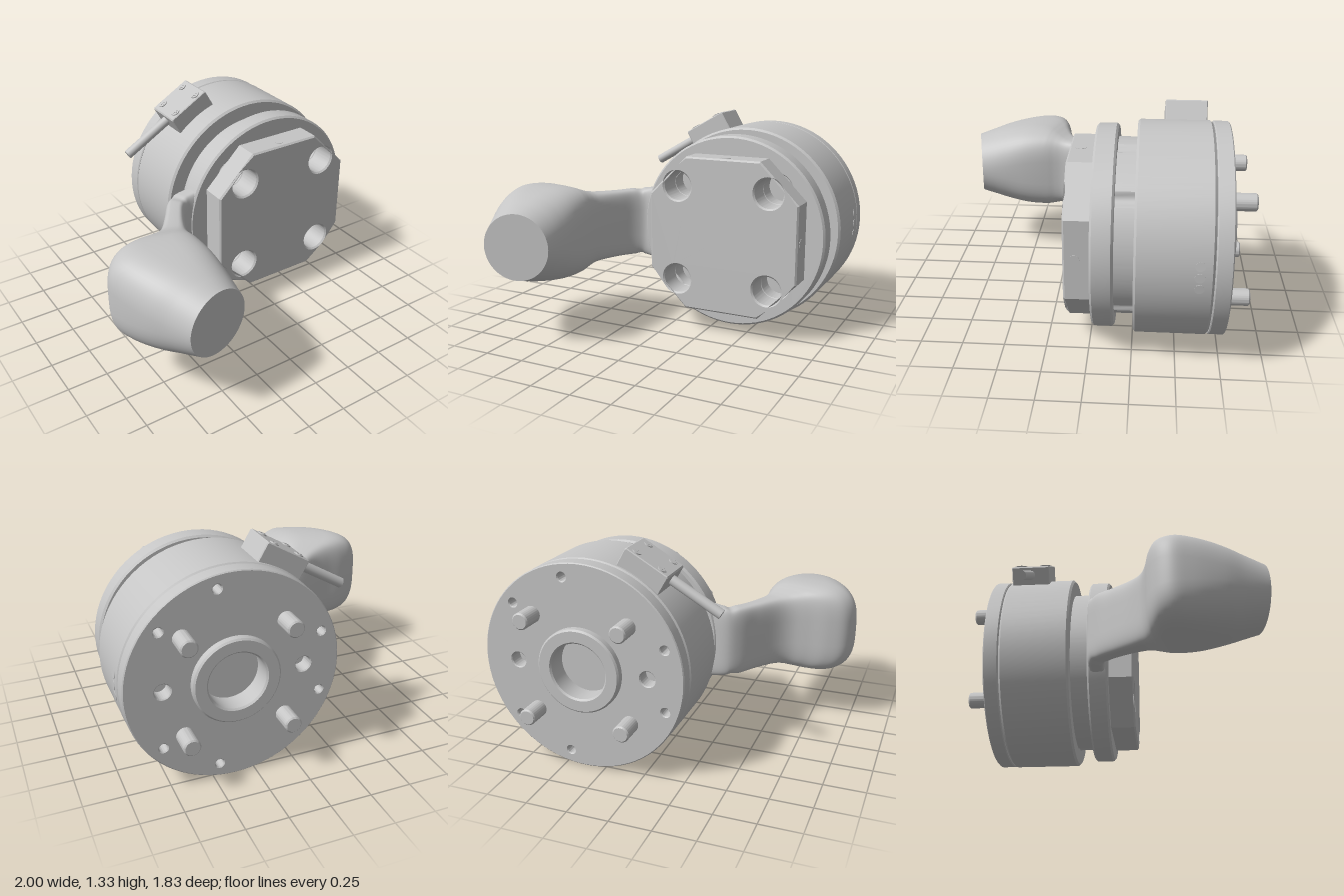
import * as THREE from 'three';
import { toCreasedNormals } from 'three/addons/utils/BufferGeometryUtils.js';

const CX = 0.37, CY = 0.63; // axis of the round body
const steel = new THREE.MeshStandardMaterial({ color: 0xc5c5c5, side: THREE.DoubleSide });
steel.name = 'steel grey';

function add(parent, name, geometry, x = 0, y = 0, z = 0) {
  const mesh = new THREE.Mesh(geometry, steel);
  mesh.name = name;
  mesh.position.set(x, y, z);
  parent.add(mesh);
  return mesh;
}

function polygon(points) {
  return new THREE.Shape(points.map(([x, y]) => new THREE.Vector2(x, y)));
}

function disc(r) {
  const s = new THREE.Shape();
  s.absarc(0, 0, r, 0, Math.PI * 2);
  return s;
}

function hole(shape, x, y, r) {
  const p = new THREE.Path();
  p.absarc(x, y, r, 0, Math.PI * 2, true);
  shape.holes.push(p);
}

// Plate across the body axis, from z0 (back) to z1 (front)
function plate(parent, name, shape, z0, z1, bevel = 0.01) {
  const g = new THREE.ExtrudeGeometry(shape, {
    depth: z1 - z0 - 2 * bevel, curveSegments: 40, bevelEnabled: bevel > 0,
    bevelThickness: bevel, bevelSize: bevel, bevelOffset: -bevel, bevelSegments: 1,
  });
  return add(parent, name, toCreasedNormals(g, 0.5), 0, 0, z0 + bevel);
}

function rod(parent, name, r, z0, z1, x, y) {
  const g = new THREE.CylinderGeometry(r, r, z1 - z0, 28).rotateX(Math.PI / 2);
  return add(parent, name, g, x, y, (z0 + z1) / 2);
}

// Shallow plug pointing out from the axis at a given angle
function radialPlug(parent, name, angle, r, radius, z) {
  const g = new THREE.CylinderGeometry(r, r, 0.04, 24).rotateZ(-Math.PI / 2)
    .translate(radius - 0.018, 0, z).rotateZ(angle);
  return add(parent, name, g);
}

// Neck outline: a circle with round scallops cut into its rim
function neckOutline() {
  const points = [], R = 0.545, s = 0.045;
  for (let i = 0; i < 360; i++) {
    const t = i / 180 * Math.PI;
    let r = 0.525;
    for (const deg of [40, 80, -40, -80]) {
      const d = t - deg / 180 * Math.PI, off = R * Math.sin(d);
      if (Math.cos(d) > 0 && Math.abs(off) < s) {
        r = Math.min(r, R * Math.cos(d) - Math.sqrt(s * s - off * off));
      }
    }
    points.push([r * Math.cos(t), r * Math.sin(t)]);
  }
  return polygon(points);
}

function buildBody() {
  const body = new THREE.Group();
  body.name = 'body';
  body.position.set(CX, CY, 0);
  const corners = [[1, 1], [-1, 1], [-1, -1], [1, -1]].map((c) => c.map((v) => v * 0.297));

  // Chamfered square front plate and round flange, counterbored for four bolts
  const a = 0.4825, b = 0.24;
  const front = polygon([[a, -b], [a, b], [b, a], [-b, a], [-a, b], [-a, -b], [-b, -a], [b, -a]]);
  const flange = disc(0.603);
  for (const [x, y] of corners) {
    hole(front, x, y, 0.09);
    hole(flange, x, y, 0.09);
    rod(body, 'bolt', 0.05, -0.16, -0.12, x, y);
    plate(body, 'backPin', disc(0.05), -0.918, -0.76, 0.008).position.add(new THREE.Vector3(x, y, 0));
  }
  plate(body, 'frontPlate', front, -0.03, 0.135, 0.01);
  plate(body, 'flange', flange, -0.145, -0.018, 0.012);
  for (const angle of [0, Math.PI / 2]) radialPlug(body, 'plateSidePlug', angle, 0.033, a, 0.07);

  // Recessed neck and drum
  plate(body, 'neck', neckOutline(), -0.26, -0.14, 0);
  plate(body, 'drum', disc(0.63), -0.685, -0.255, 0.013);
  for (const angle of [-0.107, 0, 0.107]) radialPlug(body, 'drumSidePlug', angle, 0.028, 0.63, -0.605);

  // Back plate with its drilled holes
  const back = disc(0.628);
  hole(back, 0, 0, 0.19);
  for (const deg of [20, 100, 140, -20, -100, -140]) {
    const t = deg * Math.PI / 180;
    hole(back, -0.548 * Math.cos(t), 0.548 * Math.sin(t), 0.025);
  }
  for (const s of [-1, 1]) hole(back, s * 0.41, 0, 0.045);
  plate(body, 'backPlate', back, -0.78, -0.687, 0.006);

  // Raised ring round the back bore
  const ring = disc(0.255);
  hole(ring, 0, 0, 0.17);
  plate(body, 'backRing', ring, -0.828, -0.686, 0.01);
  return body;
}

// Sensor block on the drum with its cable and four cross-head screws
function buildSensor() {
  const sensor = new THREE.Group();
  sensor.name = 'sensor';
  sensor.position.set(CX, CY, -0.535);
  sensor.rotation.z = Math.PI / 6;
  const w = 0.145, d = 0.123, c = 0.008, top = 0.733;
  const outline = polygon([[-w, 0.6], [w, 0.6], [w, top - c], [w - c, top], [c - w, top], [-w, top - c]]);
  plate(sensor, 'sensorBlock', outline, -d, d, 0.005);
  const cable = new THREE.CylinderGeometry(0.03, 0.03, 0.36, 24).rotateZ(Math.PI / 2);
  add(sensor, 'cable', cable, -0.305, 0.676, 0);
  for (const x of [-0.085, 0.085]) for (const z of [-0.082, 0.082]) {
    add(sensor, 'screw', new THREE.CylinderGeometry(0.027, 0.027, 0.012, 24), x, top, z);
    for (const turn of [0, Math.PI / 2]) {
      add(sensor, 'screwCross', new THREE.BoxGeometry(0.034, 0.004, 0.008), x, top + 0.007, z).rotation.y = turn;
    }
  }
  return sensor;
}

// Cranked arm swelling into the grip, lofted through upright rounded sections
function buildHandle() {
  const handle = new THREE.Group();
  handle.name = 'handle';
  // outer x, z; inner x, z; half height; squareness
  const sections = [
    [-0.08, -0.135, -0.08, -0.025, 0.25, 5], [-0.18, -0.138, -0.18, -0.022, 0.234, 5],
    [-0.3, -0.13, -0.24, -0.02, 0.22, 5], [-0.37, -0.08, -0.29, 0.02, 0.218, 4.6],
    [-0.45, 0.03, -0.345, 0.11, 0.217, 4.3], [-0.55, 0.155, -0.395, 0.22, 0.222, 4.1],
    [-0.62, 0.203, -0.41, 0.28, 0.232, 3.9], [-0.72, 0.23, -0.41, 0.33, 0.25, 3.8],
    [-0.85, 0.252, -0.403, 0.38, 0.27, 3.7], [-0.95, 0.295, -0.397, 0.43, 0.284, 3.5],
    [-0.997, 0.38, -0.392, 0.49, 0.288, 3.3], [-0.985, 0.49, -0.389, 0.56, 0.283, 3],
    [-0.93, 0.66, -0.39, 0.66, 0.262, 2.5], [-0.865, 0.79, -0.396, 0.75, 0.232, 2.2],
    [-0.8, 0.916, -0.405, 0.83, 0.2, 2],
  ];
  const curve = (f) => new THREE.CatmullRomCurve3(sections.map(f));
  const outer = curve((s) => new THREE.Vector3(s[0], 0, s[1]));
  const inner = curve((s) => new THREE.Vector3(s[2], 0, s[3]));
  const form = curve((s) => new THREE.Vector3(s[4], s[5], 0));
  const rows = 84, sides = 56, pos = [], idx = [];
  for (let i = 0; i <= rows; i++) {
    const o = outer.getPoint(i / rows), n = inner.getPoint(i / rows), f = form.getPoint(i / rows);
    for (let j = 0; j < sides; j++) {
      const t = j / sides * Math.PI * 2, e = 2 / f.y;
      const u = Math.sign(Math.cos(t)) * Math.abs(Math.cos(t)) ** e;
      const v = Math.sign(Math.sin(t)) * Math.abs(Math.sin(t)) ** e;
      const p = o.clone().lerp(n, (u + 1) / 2);
      pos.push(p.x, CY + v * f.x, p.z);
      if (i < rows) {
        const a = i * sides + j, b = i * sides + (j + 1) % sides;
        idx.push(a, b, a + sides, b, b + sides, a + sides);
      }
    }
  }
  const g = new THREE.BufferGeometry();
  g.setAttribute('position', new THREE.Float32BufferAttribute(pos, 3));
  g.setIndex(idx);
  g.computeVertexNormals();
  add(handle, 'armAndGrip', g);

  // Flat slanted end of the grip
  const cap = new THREE.BufferGeometry(), rim = pos.slice(-sides * 3), fan = [];
  for (let j = 1; j < sides - 1; j++) fan.push(0, j, j + 1);
  cap.setAttribute('position', new THREE.Float32BufferAttribute(rim, 3));
  cap.setIndex(fan);
  cap.computeVertexNormals();
  add(handle, 'gripEnd', cap);
  return handle;
}

export function createModel() {
  const model = new THREE.Group();
  model.name = 'handleUnit';
  model.add(buildBody(), buildSensor(), buildHandle());
  return model;
}
